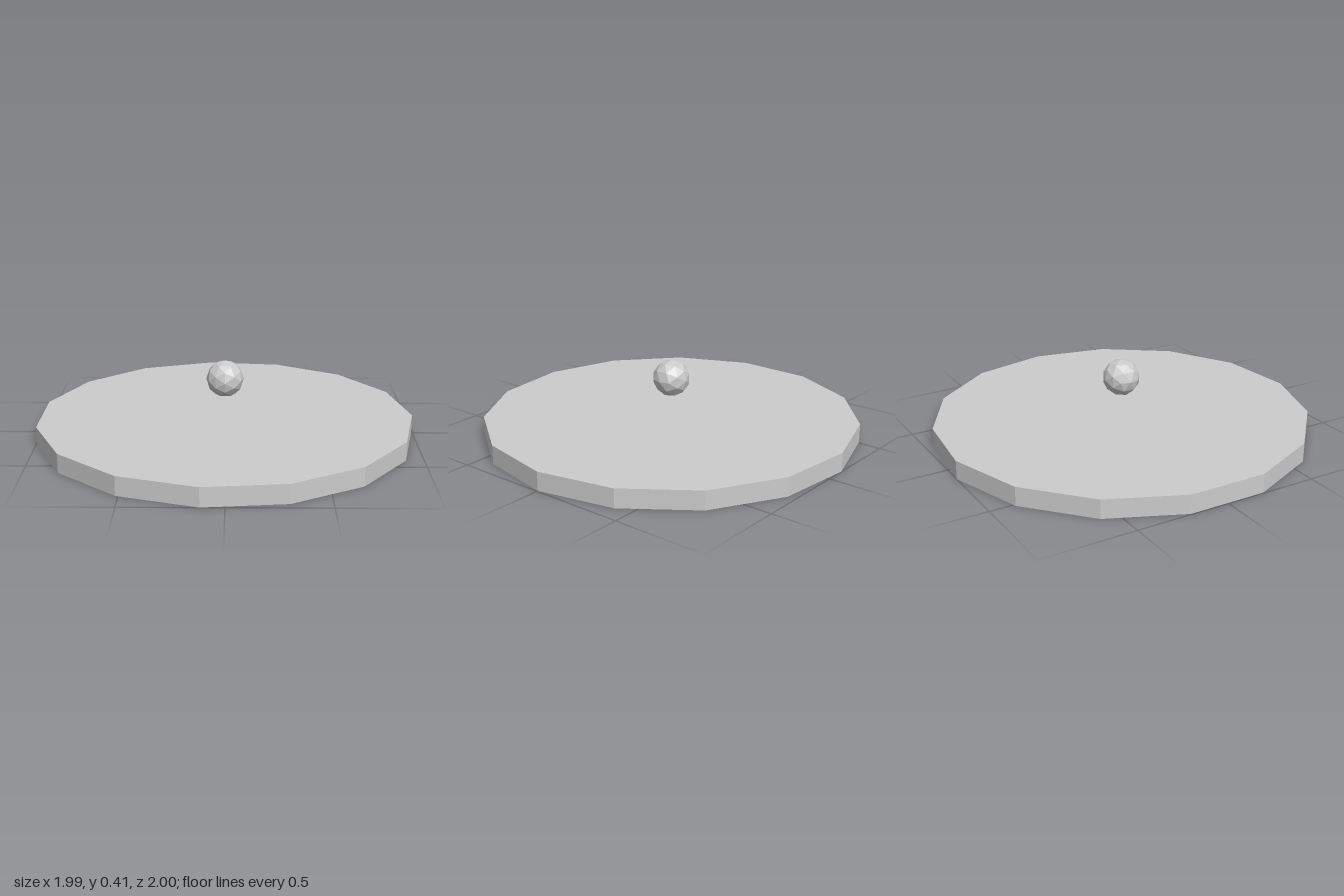
import * as THREE from 'three';

export function createModel() {
  const group = new THREE.Group();
  const material = new THREE.MeshStandardMaterial({ color: 0xcccccc, flatShading: true });
  const centreX = -0.011; // a 15-sided disc is not symmetric in x

  const add = (name, geometry, y) => {
    const mesh = new THREE.Mesh(geometry, material);
    mesh.name = name;
    mesh.position.set(centreX, y, 0);
    group.add(mesh);
    return mesh;
  };

  // Fifteen-sided disc with one corner pointing to +x
  const sides = 15;
  const disc = new THREE.CylinderGeometry(1.0055, 1.0055, 0.1, sides);
  disc.rotateY(-Math.PI / 2 + Math.PI); // first corner from +z to +x
  add('disc', disc, 0.05);

  // Small faceted ball floating above the middle
  add('ball', new THREE.IcosahedronGeometry(0.1, 1), 0.305);

  return group;
}
